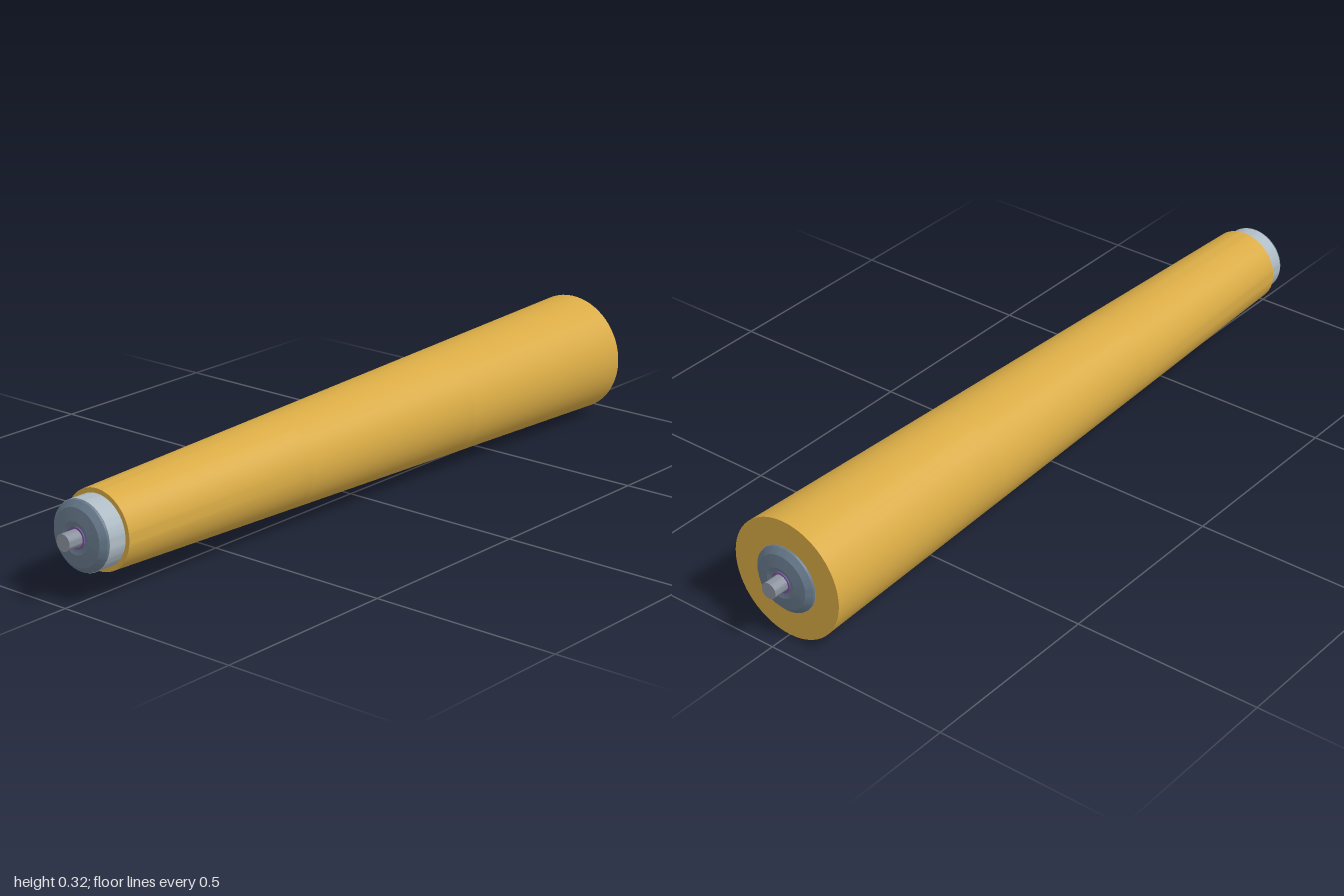
import * as THREE from 'three';
import { toCreasedNormals } from 'three/addons/utils/BufferGeometryUtils.js';

const AXIS_Y = 0.158;
const TUBE_R = 0.088;
const SEGMENTS = 64;

// Turn a closed [radius, x] profile around the roller axis (x)
function turned(name, profile, color, flip = false) {
  const points = profile.map(([r, x]) => new THREE.Vector2(r, x));
  const lathe = new THREE.LatheGeometry(points, SEGMENTS);
  const geometry = toCreasedNormals(lathe, 0.45);
  geometry.rotateZ(flip ? Math.PI / 2 : -Math.PI / 2);
  const mesh = new THREE.Mesh(geometry, new THREE.MeshStandardMaterial({ color }));
  mesh.name = name;
  mesh.position.y = AXIS_Y;
  return mesh;
}

// Closed ring with straight or tapered outside
function ring(x0, x1, outer0, outer1, inner) {
  return [[inner, x0], [outer0, x0], [outer1, x1], [inner, x1], [inner, x0]];
}

export function createModel() {
  const roller = new THREE.Group();
  roller.name = 'taperedRoller';

  // Three conical sleeves, end to end
  const start = -0.89, end = 0.94, count = 3;
  const radiusAt = (x) => THREE.MathUtils.mapLinear(x, start, end, 0.1, 0.158);
  const step = (end - start) / count;
  for (let i = 0; i < count; i++) {
    const x0 = start + i * step, x1 = x0 + step;
    roller.add(turned(`sleeve${i + 1}`, ring(x0, x1, radiusAt(x0), radiusAt(x1), TUBE_R), 0xd9ab45));
  }

  // Steel tube inside the sleeves
  roller.add(turned('tube', ring(-0.94, 0.94, TUBE_R, TUBE_R, 0.08), 0xaebbc4));

  // Domed bearing caps and seals, mirrored at both ends
  for (const [side, flip] of [['left', false], ['right', true]]) {
    roller.add(turned(`${side}EndCap`, [
      [0.022, 0.91], [0.08, 0.91], [0.08, 0.94], [0.087, 0.94], [0.086, 0.945], [0.072, 0.957],
      [0.04, 0.962], [0.027, 0.957], [0.022, 0.957], [0.022, 0.91],
    ], 0x66788a, flip));
    roller.add(turned(`${side}Seal`, ring(0.94, 0.96, 0.027, 0.027, 0.022), 0x76549a, flip));
  }

  // Through shaft
  roller.add(turned('shaft', [[0, -1], [0.021, -1], [0.021, 1], [0, 1]], 0x8b929e));
  return roller;
}
